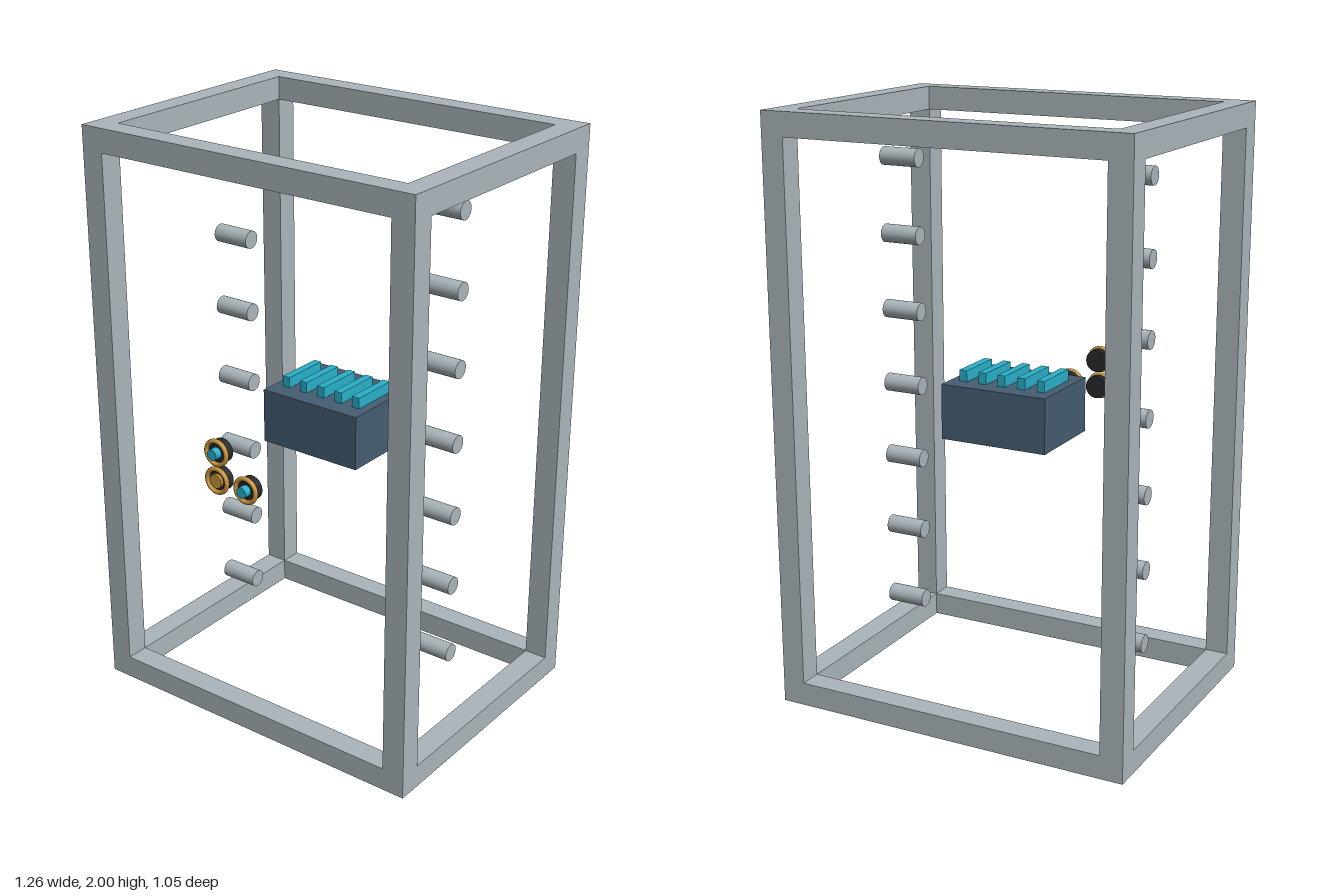
import * as THREE from 'three';

const mat = (name, color) => {
  const m = new THREE.MeshStandardMaterial({ color });
  m.name = name;
  return m;
};

export function createModel() {
  const steel = mat('steel grey', 0xaab5bb);
  const slate = mat('slate blue', 0x455d72);
  const teal = mat('teal', 0x29b0c9);
  const gold = mat('gold', 0xc9973b);
  const black = mat('black', 0x26282b);

  const model = new THREE.Group();
  model.name = 'rackModule';

  const add = (parent, name, geometry, material, x, y, z) => {
    const mesh = new THREE.Mesh(geometry, material);
    mesh.name = name;
    mesh.position.set(x, y, z);
    parent.add(mesh);
    return mesh;
  };
  const group = (name, z = 0) => {
    const g = new THREE.Group();
    g.name = name;
    g.position.z = z;
    model.add(g);
    return g;
  };

  // Open frame: four posts with rails fitted between them
  const W = 1.264, H = 2, D = 0.968, B = 0.08, ZC = -0.043;
  const px = (W - B) / 2, pz = (D - B) / 2;
  const frame = group('frame', ZC);
  for (const s of [-1, 1]) {
    for (const t of [-1, 1]) {
      const y = H / 2 + t * (H - B) / 2;
      add(frame, 'post', new THREE.BoxGeometry(B, H, B), steel, s * px, H / 2, t * pz);
      add(frame, 'crossRail', new THREE.BoxGeometry(W - 2 * B, B, B), steel, 0, y, s * pz);
      add(frame, 'sideRail', new THREE.BoxGeometry(B, B, D - 2 * B), steel, s * px, y, 0);
    }
  }

  // Two columns of horizontal rods
  const rods = group('rods', ZC);
  const rodGeometry = new THREE.CylinderGeometry(0.031, 0.031, 0.135, 24).rotateZ(Math.PI / 2);
  for (const s of [-1, 1]) {
    for (let i = 0; i < 7; i++) {
      add(rods, 'rod', rodGeometry, steel, s * 0.422, 0.25 + i * 0.26, 0);
    }
  }

  // Central housing with cooling fins on top
  const housing = group('housing', -0.046);
  add(housing, 'housingBody', new THREE.BoxGeometry(0.382, 0.188, 0.3), slate, 0, 1.002, 0);
  for (let i = -2; i <= 2; i++) {
    add(housing, 'fin', new THREE.BoxGeometry(0.028, 0.038, 0.174), teal, i * 0.072, 1.115, 0);
  }

  // Cluster of three round connectors ahead of the frame
  const disc = (r, h) => new THREE.CylinderGeometry(r, r, h, 28).rotateX(Math.PI / 2);
  const connectors = group('connectors');
  for (const [x, y, cap] of [[-0.06, 1.05, teal], [-0.06, 0.953, gold], [0.057, 0.953, teal]]) {
    add(connectors, 'connectorBody', disc(0.04, 0.032), black, x, y, 0.485);
    add(connectors, 'connectorRing', new THREE.TorusGeometry(0.04, 0.008, 10, 32), gold, x, y, 0.503);
    if (cap === teal) add(connectors, 'connectorPin', disc(0.019, 0.026), teal, x, y, 0.513);
    else add(connectors, 'connectorCap', disc(0.024, 0.012), gold, x, y, 0.505);
  }

  return model;
}
